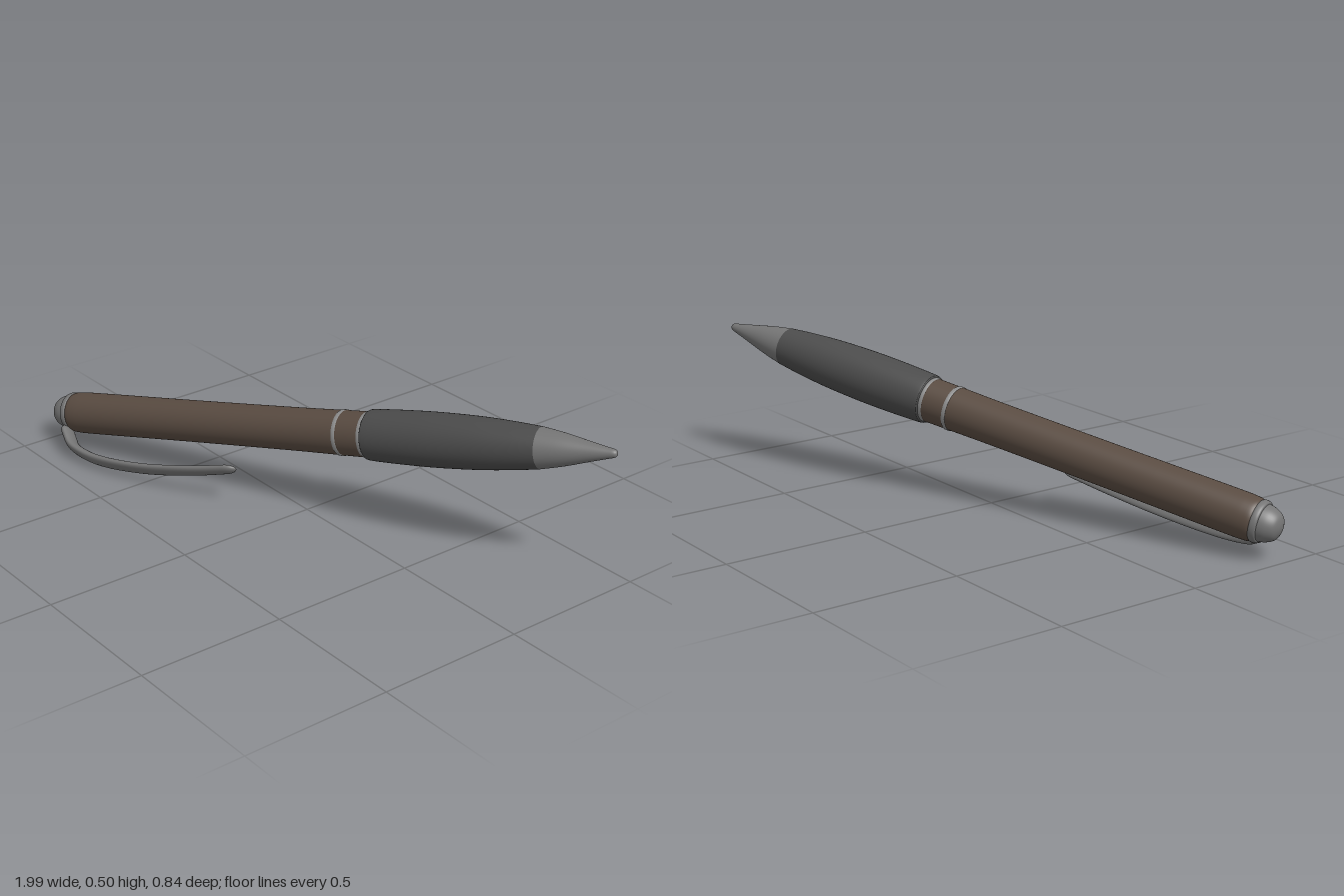
import * as THREE from 'three';

const mat = (color) => new THREE.MeshStandardMaterial({ color });
const BROWN = mat(0x5a4c42), RUBBER = mat(0x4c4c4c), METAL = mat(0x757575), RING = mat(0x8c8c8c);

// Smooth turned part from [distance along pen, radius] points
function turned(name, pts, material, smooth = true) {
  let profile = pts.map(([s, r]) => new THREE.Vector2(r, s));
  if (smooth) {
    profile = new THREE.SplineCurve(profile).getPoints(pts.length * 5);
    profile.forEach((p) => { p.x = Math.max(p.x, 0); });
  }
  const mesh = new THREE.Mesh(new THREE.LatheGeometry(profile, 48), material);
  mesh.name = name;
  return mesh;
}

// Bowed clip: oval cross-sections along a curve, closed by shrinking at both ends
function clipGeometry() {
  const path = new THREE.SplineCurve([
    [0.062, 0.055], [0.09, 0.095], [0.14, 0.14], [0.26, 0.176],
    [0.45, 0.19], [0.65, 0.181], [0.825, 0.16],
  ].map(([s, off]) => new THREE.Vector2(off, s)));
  const rows = 60, sides = 24, pos = [], idx = [];
  for (let i = 0; i <= rows; i++) {
    const t = (1 - Math.cos((i / rows) * Math.PI)) / 2;
    const c = path.getPointAt(t), d = path.getTangentAt(t);
    const end = Math.sqrt(Math.max(0, 1 - Math.pow(Math.max(0, (t - 0.95) / 0.05), 2)))
      * Math.sqrt(Math.min(1, t / 0.03));
    const w = end * (0.037 - 0.013 * t * t), h = end * (0.017 - 0.004 * t);
    for (let j = 0; j < sides; j++) {
      const a = (j / sides) * Math.PI * 2, k = h * Math.cos(a);
      pos.push(c.x + d.y * k, c.y - d.x * k, w * Math.sin(a));
      if (i < rows) {
        const p = i * sides + j, q = i * sides + (j + 1) % sides;
        idx.push(p, p + sides, q, q, p + sides, q + sides);
      }
    }
  }
  const g = new THREE.BufferGeometry();
  g.setAttribute('position', new THREE.Float32BufferAttribute(pos, 3));
  g.setIndex(idx);
  g.computeVertexNormals();
  return g;
}

export function createModel() {
  const pen = new THREE.Group();
  pen.name = 'pen';

  // Rounded end cap and its collar
  pen.add(turned('endCap', [[0, 0], [0.003, 0.02], [0.014, 0.041], [0.038, 0.055], [0.066, 0.061]], METAL));
  pen.add(turned('capCollar', [[0.06, 0.055], [0.061, 0.064], [0.067, 0.068], [0.078, 0.069], [0.084, 0.066]], METAL));

  // Barrel and the short band between the two rings
  pen.add(turned('barrel', [[0.08, 0.06], [0.084, 0.067], [0.11, 0.0715], [0.2, 0.0725], [0.6, 0.0715], [1.0, 0.072], [1.195, 0.074]], BROWN));
  pen.add(turned('band', [[1.195, 0.074], [1.295, 0.075]], BROWN, false));

  // Thin bright rings
  for (const s of [1.198, 1.292]) {
    pen.add(turned('ring', [[s - 0.007, 0.073], [s - 0.006, 0.0762], [s + 0.006, 0.0765], [s + 0.007, 0.073]], RING, false));
  }

  // Swelling grip and pointed tip
  pen.add(turned('grip', [[1.298, 0.072], [1.3, 0.08], [1.315, 0.084], [1.42, 0.0875], [1.55, 0.0885], [1.7, 0.084], [1.82, 0.075], [1.905, 0.066]], RUBBER));
  pen.add(turned('tip', [[1.905, 0.066], [1.98, 0.052], [2.06, 0.033], [2.12, 0.019], [2.145, 0.013], [2.153, 0.007], [2.155, 0]], METAL));

  const clip = new THREE.Mesh(clipGeometry(), METAL);
  clip.name = 'clip';
  pen.add(clip);

  // Lay the pen along its slanted axis, clip turned to the lower front
  const start = new THREE.Vector3(-0.988, 0.104, 0.361);
  const axis = new THREE.Vector3(0.995, 0.475, -0.405).sub(start).normalize();
  const out = new THREE.Vector3(0.37, -0.68, 0.63);
  out.addScaledVector(axis, -out.dot(axis)).normalize();
  const side = new THREE.Vector3().crossVectors(out, axis);
  pen.quaternion.setFromRotationMatrix(new THREE.Matrix4().makeBasis(out, axis, side));
  pen.position.copy(start);

  const model = new THREE.Group();
  model.add(pen);
  return model;
}
